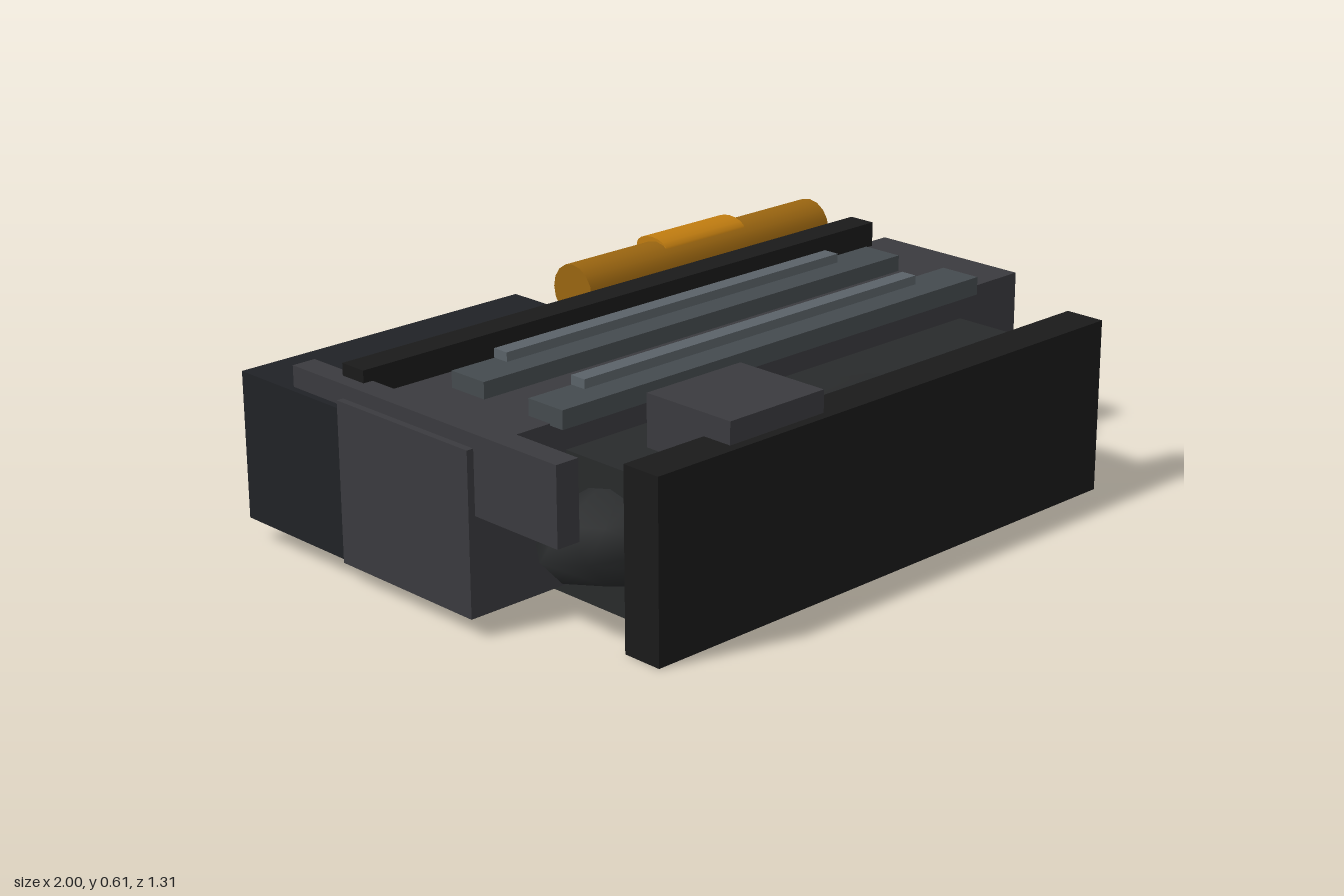
import * as THREE from 'three';

const mat = (color) => new THREE.MeshStandardMaterial({ color });
const M = {
  body: mat(0x3a3a3e), black: mat(0x1a1a1a), dark: mat(0x282a2b), rear: mat(0x202226),
  rib: mat(0x444a4e), ridge: mat(0x5a6268), amber: mat(0x9a6510), clip: mat(0xc07c10),
};

export function createModel() {
  const model = new THREE.Group();
  const add = (name, geometry, material) => {
    const mesh = new THREE.Mesh(geometry, material);
    mesh.name = name;
    model.add(mesh);
    return mesh;
  };
  // box given by its limits on each axis
  const box = (name, material, [x0, x1], [y0, y1], [z0, z1]) =>
    add(name, new THREE.BoxGeometry(x1 - x0, y1 - y0, z1 - z0), material)
      .position.set((x0 + x1) / 2, (y0 + y1) / 2, (z0 + z1) / 2);
  // rod along x with an elliptical section
  const rod = (name, material, [x0, x1], y, z, ry, rz) => {
    const g = new THREE.CylinderGeometry(1, 1, x1 - x0, 16).rotateZ(Math.PI / 2);
    g.scale(1, ry, rz);
    add(name, g, material).position.set((x0 + x1) / 2, y, z);
  };

  // main housing and the block behind it
  box('mainBody', M.body, [-1, 1], [0.05, 0.48], [-0.27, 0.22]);
  box('rearBlock', M.rear, [-1, -0.08], [0.06, 0.46], [-0.66, -0.27]);

  // front tray, cover plate and bulging core
  box('frontTray', M.dark, [-0.69, 0.765], [0.02, 0.4], [0.115, 0.545]);
  box('frontPlate', M.black, [-0.8, 0.83], [0, 0.48], [0.54, 0.655]);
  box('topBlock', M.body, [-0.54, -0.22], [0.38, 0.54], [0.345, 0.628]);
  const core = new THREE.SphereGeometry(1, 16, 8).scale(0.917, 0.193, 0.243);
  add('core', core, M.dark).position.set(0, 0.218, 0.375);

  // stepped ribs on the top
  for (const z of [-0.143, 0.143]) {
    box('rib', M.rib, [-0.74, 0.78], [0.475, 0.525], [z, z + 0.122]);
    box('ribRidge', M.ridge, [-0.6, 0.61], [0.5, 0.55], [z - 0.001, z + 0.047]);
  }

  // side strap
  box('sideStrap', M.body, [-0.98, -0.912], [0.31, 0.517], [-0.47, 0.51]);

  // rear rail with ledge
  box('rearRail', M.black, [-0.94, 0.91], [0.395, 0.55], [-0.32, -0.238]);
  box('railLedge', M.black, [-0.08, 0.8], [0.37, 0.392], [-0.385, -0.26]);

  // amber tube and clip
  rod('tube', M.amber, [-0.08, 0.845], 0.52, -0.425, 0.075, 0.075);
  rod('tubeClip', M.clip, [0.23, 0.535], 0.575, -0.442, 0.03, 0.06);

  return model;
}
